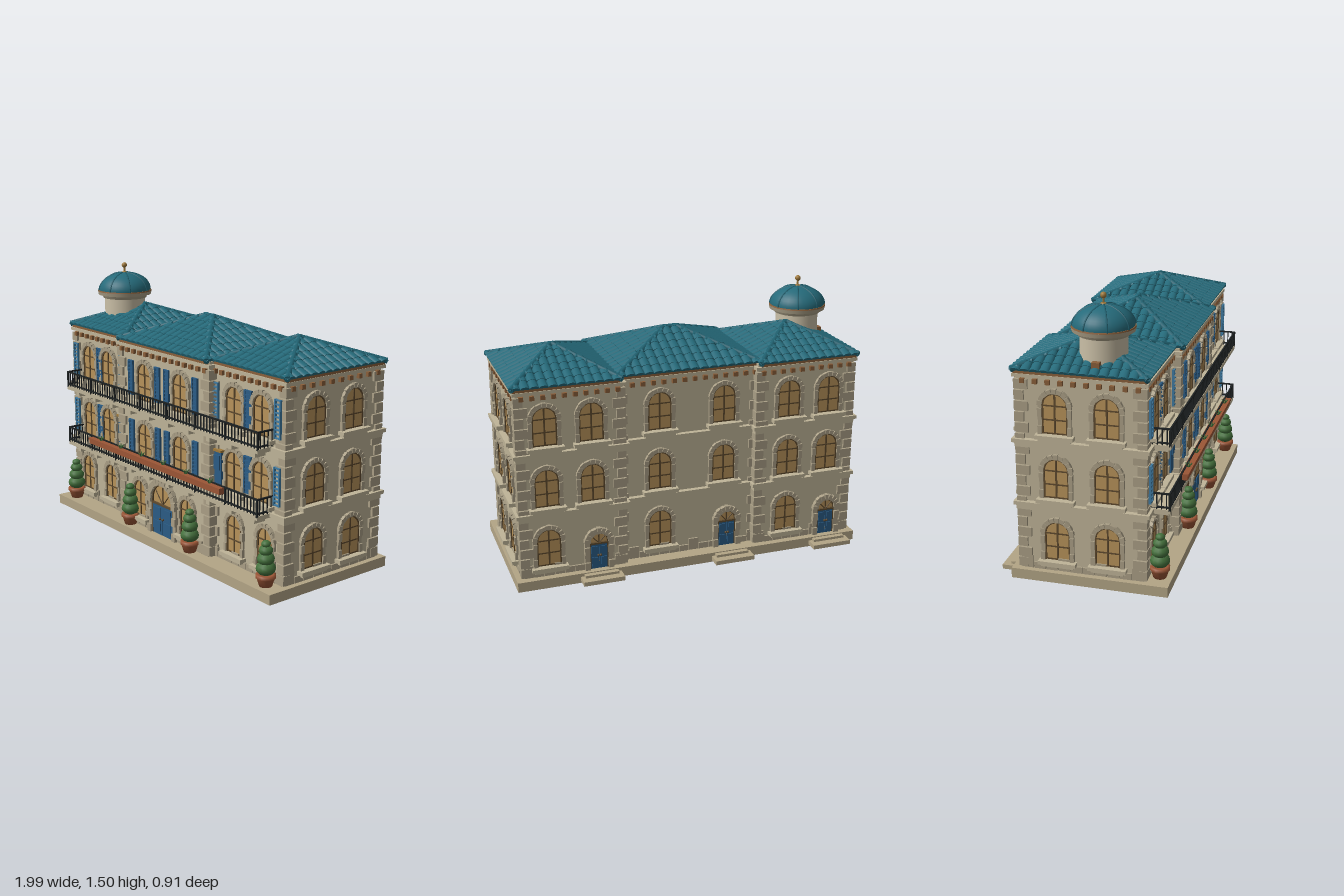
import * as THREE from 'three';
import { mergeGeometries } from 'three/addons/utils/BufferGeometryUtils.js';

const mat = (color) => new THREE.MeshStandardMaterial({ color });
const M = {
  wall: mat(0xbfb498), stone: mat(0xaa9f86), base: mat(0xb3a586), roof: mat(0x256a7a), ridge: mat(0x1f5f6e),
  glass: mat(0xb8935a), wood: mat(0x5f4a2e), brown: mat(0x8a5f3a), blue: mat(0x2b5c85), paleBlue: mat(0x3f7ba3),
  iron: mat(0x1d2122), clay: mat(0x9c5636), leaf: mat(0x44703c), cream: mat(0xcabfa6), gold: mat(0xa07a3c),
};
const V = (x, y, z) => new THREE.Vector3(x, y, z);

// Box placed by its centre
const box = (w, h, d, x = 0, y = 0, z = 0) => new THREE.BoxGeometry(w, h, d).translate(x, y, z);
// Box placed by its limits
const span = (x0, x1, y0, y1, z0, z1) => box(x1 - x0, y1 - y0, z1 - z0, (x0 + x1) / 2, (y0 + y1) / 2, (z0 + z1) / 2);
function part(parent, name, material, geos) {
  const list = [].concat(geos).map((g) => (g.index ? g.toNonIndexed() : g));
  const mesh = new THREE.Mesh(list.length > 1 ? mergeGeometries(list) : list[0], material);
  mesh.name = name;
  parent.add(mesh);
  return mesh;
}
function rod(a, b, r, seg = 8) {
  const d = b.clone().sub(a), g = new THREE.CylinderGeometry(r, r, d.length(), seg);
  g.applyQuaternion(new THREE.Quaternion().setFromUnitVectors(V(0, 1, 0), d.normalize()));
  return g.translate((a.x + b.x) / 2, (a.y + b.y) / 2, (a.z + b.z) / 2);
}
function put(parent, proto, x, y, z, ry = 0, sx = 1) {
  const c = proto.clone();
  c.position.set(x, y, z);
  c.rotation.y = ry;
  c.scale.x = sx;
  parent.add(c);
}

// Arched outlines: half width hw, straight sides up to spring
function arch(hw, spring, depth, inner = 0) {
  const s = new THREE.Shape();
  s.moveTo(-hw, 0).lineTo(-hw, spring).absarc(0, spring, hw, Math.PI, 0, true).lineTo(hw, 0);
  if (inner) s.lineTo(inner, 0).lineTo(inner, spring).absarc(0, spring, inner, 0, Math.PI, false).lineTo(-inner, 0);
  s.closePath();
  return new THREE.ExtrudeGeometry(s, { depth, bevelEnabled: false, curveSegments: 12 });
}
// Ring of wedge stones over an opening plus jamb stones down the sides
function archStones(r, width, spring, n, depth) {
  const out = [arch(r + width * 0.45, spring, depth * 0.6, r - width * 0.5)];
  for (let i = 0; i < n; i++) {
    const a = (Math.PI * (i + 0.5)) / n, w = width * (i % 2 ? 1 : 1.15);
    out.push(box(w, (Math.PI * r / n) * 0.88, depth, r, 0, depth / 2).rotateZ(a).translate(0, spring, 0));
  }
  for (const s of [-1, 1]) for (let y = 0.0; y < spring - 0.02; y += 0.09) out.push(box(width, 0.045, depth, s * r, y + 0.022, depth / 2));
  return out;
}

function makeWindow() {
  const g = new THREE.Group(), sp = 0.148;
  g.name = 'archedWindow';
  part(g, 'windowPane', M.glass, arch(0.066, sp, 0.004));
  part(g, 'windowFrame', M.wood, [arch(0.068, sp, 0.01, 0.059), box(0.009, 0.205, 0.009, 0, 0.105, 0.004),
    box(0.13, 0.007, 0.008, 0, 0.004, 0.004), box(0.13, 0.007, 0.008, 0, 0.075, 0.004), box(0.13, 0.007, 0.008, 0, sp, 0.004)]);
  part(g, 'windowSurround', M.stone, archStones(0.077, 0.022, sp, 9, 0.018));
  part(g, 'windowSill', M.wall, [box(0.2, 0.02, 0.04, 0, -0.012, 0.02), box(0.17, 0.014, 0.028, 0, -0.028, 0.014)]);
  return g;
}

function makeDoor(hw, spring, leafH, n, width) {
  const g = new THREE.Group(), leaf = [], trim = [], top = spring + hw;
  g.name = 'archedDoor';
  part(g, 'fanlight', M.glass, arch(hw, spring, 0.004));
  part(g, 'doorSurround', M.stone, archStones(hw + width / 2, width, spring, n, 0.026));
  for (const s of [-1, 1]) {
    leaf.push(box(hw - 0.002, leafH, 0.01, s * hw / 2, leafH / 2, 0.006));
    for (const f of [0.28, 0.72]) leaf.push(box(hw * 0.62, leafH * 0.34, 0.006, s * hw / 2, leafH * f, 0.013));
    trim.push(rod(V(0, leafH, 0.008), V(s * hw * 0.7, spring + hw * 0.6, 0.008), 0.003, 6));
    trim.push(new THREE.SphereGeometry(0.007, 8, 6).translate(s * hw * 0.13, leafH * 0.55, 0.02));
  }
  part(g, 'doorLeaves', M.blue, leaf);
  part(g, 'doorTrim', M.wood, [...trim, box(hw * 2, 0.01, 0.016, 0, leafH, 0.008), box(0.006, top - leafH, 0.008, 0, (top + leafH) / 2, 0.006), arch(hw, spring, 0.012, hw - 0.006)]);
  return g;
}

// Louvred shutter, with or without a solid back panel
function makeShutter(solid) {
  const g = new THREE.Group(), w = 0.046, bars = [];
  g.name = 'shutter';
  for (const s of [-1, 1]) bars.push(box(0.008, 0.2, 0.012, s * (w / 2 - 0.004), 0.1, 0.008));
  for (let i = 0; i <= 9; i++) bars.push(box(w, 0.007, 0.01, 0, 0.004 + i * 0.0213, 0.008));
  if (solid) bars.push(box(w, 0.2, 0.006, 0, 0.1, 0.005));
  part(g, 'shutterLouvres', solid ? M.blue : M.paleBlue, bars);
  return g;
}

function makeTopiary() {
  const g = new THREE.Group();
  g.name = 'topiary';
  const pts = [[0, 0], [0.034, 0], [0.048, 0.045], [0.053, 0.045], [0.053, 0.062], [0.04, 0.062], [0, 0.055]];
  part(g, 'pot', M.clay, new THREE.LatheGeometry(pts.map((p) => new THREE.Vector2(...p)), 14));
  part(g, 'foliage', M.leaf, [[0.052, 0.095], [0.046, 0.145], [0.037, 0.19], [0.025, 0.224]].map(([r, y]) =>
    new THREE.SphereGeometry(r, 12, 8).scale(1, 0.75, 1).translate(0, y, 0)));
  return g;
}

// Hipped roof covered with barrel tiles, laid in courses on each slope
function makeRoof(x0, x1, z0, z1, y, peak, r) {
  const g = new THREE.Group(), cx = (x0 + x1) / 2, cz = (z0 + z1) / 2;
  g.name = 'hippedRoof';
  const C = [V(x0, y, z1), V(x1, y, z1), V(x1, y, z0), V(x0, y, z0)];
  const R = [V(cx - r, peak, cz), V(cx + r, peak, cz)];
  const core = new THREE.BufferGeometry().setFromPoints([...C, ...R]);
  core.setIndex([0, 1, 5, 0, 5, 4, 1, 2, 5, 2, 3, 4, 2, 4, 5, 3, 0, 4, 0, 3, 2, 0, 2, 1]);
  const flat = core.toNonIndexed();
  flat.computeVertexNormals();
  part(g, 'roofDeck', M.roof, flat);
  const tiles = [], course = 0.062;
  for (let k = 0; k < 4; k++) {
    const A = C[k], B = C[(k + 1) % 4], e = B.clone().sub(A), L = e.length();
    e.normalize();
    const top = k === 0 ? R[0] : k === 2 ? R[1] : R[k === 1 ? 1 : 0];
    const a = top.clone().sub(A).dot(e), ridge = k % 2 ? 0 : 2 * r;
    const S = top.clone().sub(A).addScaledVector(e, -a), len = S.length();
    S.normalize();
    const N = e.clone().cross(S), n = Math.round(L / 0.05), p = L / n;
    for (let i = 0; i < n; i++) {
      const u = (i + 0.5) * p, reach = len * Math.min(1, u / a, (L - u) / (L - a - ridge));
      for (let s = -0.006; s < reach; s += course) {
        const h = Math.min(course * 1.12, reach - s + 0.01);
        const t = new THREE.CylinderGeometry(p * 0.45, p * 0.54, h, 6, 1, false, -Math.PI / 2, Math.PI).scale(1, 1, 0.6);
        const pos = A.clone().addScaledVector(e, u).addScaledVector(S, s + h / 2);
        tiles.push(t.applyMatrix4(new THREE.Matrix4().makeBasis(e, S, N).setPosition(pos)));
      }
    }
  }
  part(g, 'roofTiles', M.roof, tiles);
  const caps = C.map((c, i) => rod(c, R[i === 1 || i === 2 ? 1 : 0], 0.016));
  part(g, 'hipCaps', M.ridge, [...caps, rod(V(cx - r - 0.01, peak, cz), V(cx + r + 0.01, peak, cz), 0.016)]);
  part(g, 'eaves', M.brown, span(x0 + 0.008, x1 - 0.008, y - 0.02, y + 0.002, z0 + 0.008, z1 - 0.008));
  return g;
}

export function createModel() {
  const model = new THREE.Group(), F = 0.345;
  model.name = 'villa';
  part(model, 'terrace', M.base, span(-0.995, 0.995, 0, 0.055, -0.392, 0.437));

  // Walls, string courses, dentils, quoins and plinth stones of the three blocks
  for (const [x0, x1, z0, z1] of [[-0.41, 0.41, -0.305, 0.35], [0.385, 0.955, -0.345, 0.31], [-0.955, -0.385, -0.345, 0.31]]) {
    const ring = (o, y0, y1) => span(x0 - o, x1 + o, y0, y1, z0 - o, z1 + o);
    part(model, 'walls', M.wall, ring(0, 0.05, 1.125));
    part(model, 'stringCourses', M.wall, [ring(0.016, 0.385, 0.41), ring(0.028, 0.41, 0.43), ring(0.016, 0.725, 0.75), ring(0.028, 0.75, 0.77), ring(0.018, 1.092, 1.11)]);
    const quoins = [], dentils = [], plinth = [];
    for (const [cx, sx] of [[x0, -1], [x1, 1]]) for (const [cz, sz] of [[z0, -1], [z1, 1]])
      for (let i = 0; i < 18; i++) {
        const w = i % 2 ? 0.05 : 0.072, d = i % 2 ? 0.072 : 0.05;
        quoins.push(box(w, 0.05, d, cx + sx * (0.013 - w / 2), 0.086 + i * 0.057, cz + sz * (0.013 - d / 2)));
      }
    const nx = Math.round((x1 - x0) / 0.06), nz = Math.round((z1 - z0) / 0.066);
    for (let i = 0; i < nx; i++) {
      const w = (x1 - x0) / nx, x = x0 + (i + 0.5) * w;
      for (const z of [z0, z1]) {
        dentils.push(box(0.024, 0.024, 0.036, x, 1.074, z));
        plinth.push(box(w * 0.95, i % 3 ? 0.035 : 0.068, 0.02, x, i % 3 ? 0.072 : 0.09, z));
      }
    }
    for (let i = 0; i < nz; i++) {
      const w = (z1 - z0) / nz, z = z0 + (i + 0.5) * w;
      for (const x of [x0, x1]) {
        dentils.push(box(0.036, 0.024, 0.024, x, 1.074, z));
        plinth.push(box(0.02, i % 3 ? 0.035 : 0.068, w * 0.95, x, i % 3 ? 0.072 : 0.09, z));
      }
    }
    part(model, 'quoins', M.stone, quoins);
    part(model, 'dentils', M.brown, dentils);
    part(model, 'plinthStones', M.stone, plinth);
  }

  // Windows and back doors
  const win = makeWindow(), backDoor = makeDoor(0.052, 0.16, 0.15, 9, 0.03);
  const frontZ = (x) => (Math.abs(x) < 0.4 ? 0.35 : 0.31), backZ = (x) => (Math.abs(x) < 0.4 ? -0.305 : -0.345);
  for (let f = 0; f < 3; f++) {
    const y = 0.115 + F * f;
    for (const x of f ? [-0.79, -0.59, -0.165, 0.165, 0.57, 0.785] : [-0.82, -0.575, -0.22, 0.22, 0.575, 0.82])
      put(model, win, x, y, frontZ(x), 0, f ? 0.96 : 0.88);
    for (const x of f ? [-0.81, -0.57, -0.2, 0.17, 0.56, 0.81] : [-0.57, 0.17, 0.81]) put(model, win, x, y, backZ(x), Math.PI);
    for (const s of [-1, 1]) for (const z of [0.118, -0.148]) put(model, win, s * 0.955, y, z, s * Math.PI / 2);
  }
  for (const x of [-0.825, -0.225, 0.535]) {
    put(model, backDoor, x, 0.055, backZ(x), Math.PI);
    part(model, 'backSteps', M.base, [span(x - 0.115, x + 0.115, 0.012, 0.036, -0.463, -0.38), span(x - 0.095, x + 0.095, 0.036, 0.05, -0.42, -0.38)]);
  }
  put(model, makeDoor(0.098, 0.2, 0.18, 13, 0.032), 0, 0.055, 0.352);

  // Shutters on the upper floors and side balcony doors
  const solid = makeShutter(true), slatted = makeShutter(false);
  for (let f = 1; f < 3; f++) {
    const y = 0.13 + F * f;
    for (const s of [-1, 1]) {
      for (const x of [0.042, 0.295]) put(model, solid, s * x, y, 0.35);
      put(model, solid, s * 0.68, y, 0.31, 0, 1.25);
      put(model, slatted, s * 0.918, y, 0.322);
      if (f === 2) put(model, slatted, s * 0.435, y, 0.322);
      else {
        part(model, 'balconyDoor', M.blue, [box(0.064, 0.2, 0.02, s * 0.445, 0.55, 0.318), box(0.045, 0.08, 0.01, s * 0.445, 0.59, 0.33)]);
        part(model, 'balconyDoorLintel', M.gold, box(0.078, 0.012, 0.03, s * 0.445, 0.655, 0.322));
      }
    }
  }

  // Balconies with iron railings
  for (const y of [0.405, 0.75]) {
    const corbels = [], bars = [], top = y + 0.108, low = y + 0.034;
    for (let i = 0; i < 10; i++) corbels.push(box(0.03, 0.035, 0.07, -0.81 + i * 0.18, y - 0.017, 0.36));
    part(model, 'balconySlab', M.wall, [span(-0.885, 0.875, y, y + 0.022, 0.3, 0.42), ...corbels]);
    for (const h of [top, low]) {
      bars.push(box(1.75, 0.008, 0.009, -0.005, h, 0.416));
      for (const x of [-0.88, 0.87]) bars.push(box(0.009, 0.008, 0.11, x, h, 0.365));
    }
    for (let i = 0; i <= 70; i++) {
      const w = i % 10 ? 0.005 : 0.01;
      bars.push(box(w, top - y - 0.015, w, -0.88 + i * 0.025, (top + y + 0.015) / 2, 0.416));
    }
    for (const x of [-0.88, 0.87]) for (let i = 0; i < 4; i++) bars.push(box(0.005, top - y - 0.015, 0.005, x, (top + y + 0.015) / 2, 0.325 + i * 0.025));
    part(model, 'balconyRailing', M.iron, bars);
  }
  part(model, 'flowerBox', M.clay, [span(-0.61, 0.61, 0.476, 0.506, 0.41, 0.447), span(-0.613, 0.613, 0.5, 0.511, 0.406, 0.452)]);
  const sprigs = [];
  for (let i = 0; i < 6; i++) for (let k = 0; k < 5; k++) {
    const x = -0.51 + i * 0.204, a = k * 1.257;
    sprigs.push(rod(V(x, 0.505, 0.43), V(x + 0.016 * Math.cos(a), 0.533, 0.43 + 0.018 * Math.sin(a)), 0.003, 5));
  }
  part(model, 'flowerBoxPlants', M.leaf, sprigs);

  const topiary = makeTopiary();
  for (const x of [-0.89, -0.285, 0.28, 0.89]) put(model, topiary, x, 0.055, x * x > 0.5 ? 0.372 : 0.385);

  // Roofs
  model.add(makeRoof(-0.41, 0.41, -0.325, 0.372, 1.13, 1.275, 0.035));
  for (const s of [-1, 1]) model.add(makeRoof(s * 0.685 - 0.293, s * 0.685 + 0.293, -0.366, 0.328, 1.13, 1.252, 0.004));

  // Domed tower
  const tower = new THREE.Group();
  tower.name = 'tower';
  tower.position.set(-0.788, 0, 0.055);
  model.add(tower);
  part(tower, 'drum', M.cream, new THREE.CylinderGeometry(0.12, 0.122, 0.2, 32).translate(0, 1.2, 0));
  part(tower, 'drumCornice', M.stone, [new THREE.CylinderGeometry(0.14, 0.13, 0.02, 32).translate(0, 1.3, 0), new THREE.CylinderGeometry(0.162, 0.158, 0.02, 32).translate(0, 1.32, 0)]);
  part(tower, 'domeRim', M.brown, new THREE.CylinderGeometry(0.16, 0.162, 0.007, 32).translate(0, 1.333, 0));
  part(tower, 'dome', M.roof, new THREE.SphereGeometry(0.156, 32, 12, 0, Math.PI * 2, 0, Math.PI / 2).scale(1, 0.68, 1).translate(0, 1.334, 0));
  part(tower, 'domeRibs', M.ridge, [0, 1, 2, 3].map((i) =>
    new THREE.TorusGeometry(0.156, 0.005, 6, 24, Math.PI).scale(1, 0.68, 1).rotateY((i + 0.5) * Math.PI / 4).translate(0, 1.334, 0)));
  part(tower, 'finial', M.gold, [rod(V(0, 1.43, 0), V(0, 1.475, 0), 0.006), new THREE.SphereGeometry(0.016, 12, 10).translate(0, 1.483, 0), new THREE.CylinderGeometry(0.012, 0.02, 0.01, 12).translate(0, 1.441, 0)]);
  part(tower, 'ventBlock', M.brown, box(0.035, 0.045, 0.04, -0.135, 1.162, 0));
  return model;
}
